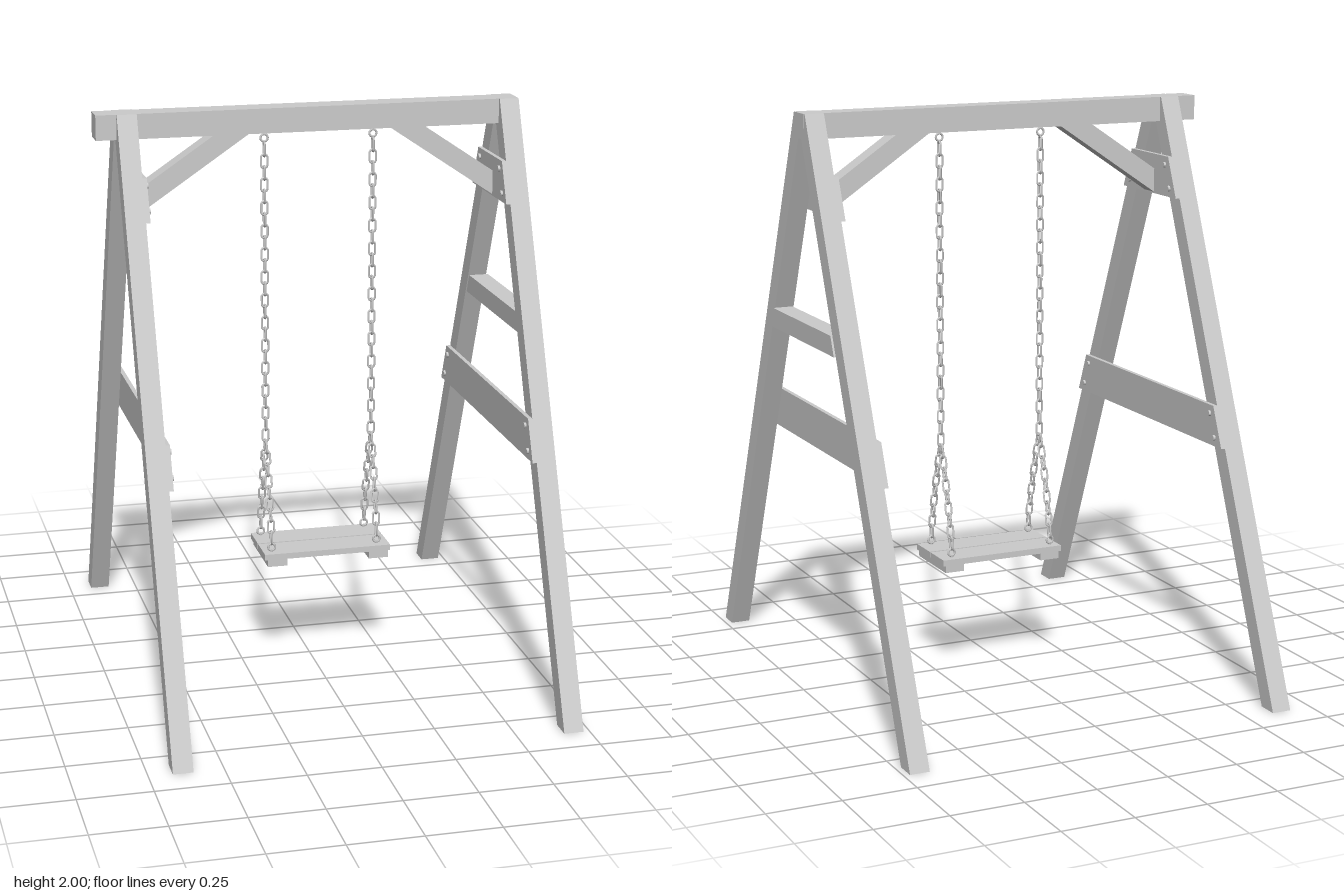
import * as THREE from 'three';

const material = new THREE.MeshStandardMaterial({ color: 0xcccccc, flatShading: true });
const smooth = new THREE.MeshStandardMaterial({ color: 0xcccccc });

function add(parent, name, geometry, mat = material) {
  const mesh = new THREE.Mesh(geometry, mat);
  mesh.name = name;
  parent.add(mesh);
  return mesh;
}

// box given by its limits on each axis
function block(parent, name, [x0, x1], [y0, y1], [z0, z1]) {
  const mesh = add(parent, name, new THREE.BoxGeometry(x1 - x0, y1 - y0, z1 - z0));
  mesh.position.set((x0 + x1) / 2, (y0 + y1) / 2, (z0 + z1) / 2);
  return mesh;
}

function extrude(points, depth) {
  const shape = new THREE.Shape(points.map(([a, b]) => new THREE.Vector2(a, b)));
  return new THREE.ExtrudeGeometry(shape, { depth, bevelEnabled: false });
}

// outline in (z, y), extruded from x0 to x1
function sidePrism(parent, name, points, x0, x1) {
  return add(parent, name, extrude(points, x1 - x0).rotateY(-Math.PI / 2).translate(x1, 0, 0));
}

// z of the leg's outer edge, middle and inner edge at height y
const SLOPE = 0.4215;
const outer = y => 0.893 - SLOPE * y;
const middle = y => 0.857 - SLOPE * y;
const inner = y => 0.82 - SLOPE * y;

// symmetric trapezoid whose ends follow the slope of the legs
const trapezoid = (edge, y0, y1) => [[-edge(y0), y0], [edge(y0), y0], [edge(y1), y1], [-edge(y1), y1]];

// one A-frame; dir points towards the middle of the swing
function sideFrame(name, x0, x1, dir) {
  const frame = new THREE.Group();
  frame.name = name;
  const face = dir > 0 ? x1 : x0;

  // legs, notched around the top beam
  for (const s of [1, -1]) {
    const pts = [[outer(0), 0], [outer(2), 2], [0.043, 2], [0.043, 1.915], [inner(1.915), 1.915], [inner(0), 0]];
    sidePrism(frame, s > 0 ? 'frontLeg' : 'backLeg', pts.map(([z, y]) => [s * z, y]), x0, x1);
  }

  // boards on the inner faces of the legs, each with four bolts
  for (const [board, y0, y1] of [['lowerBoard', 0.84, 0.98], ['upperBoard', 1.66, 1.8]]) {
    const end = face + dir * 0.015;
    sidePrism(frame, board, trapezoid(outer, y0, y1), Math.min(face, end), Math.max(face, end));
    for (const s of [1, -1]) for (const y of [y0 + 0.03, y1 - 0.03]) {
      const bolt = add(frame, 'bolt', new THREE.CylinderGeometry(0.01, 0.01, 0.008, 12).rotateZ(Math.PI / 2));
      bolt.position.set(end + dir * 0.004, y, s * middle(y));
    }
  }

  // diagonal brace up to the beam
  const foot = face + dir * 0.015;
  const brace = [[foot, 1.665], [foot + dir * 0.37, 1.915], [foot + dir * 0.248, 1.915], [foot, 1.748]];
  add(frame, 'brace', extrude(brace, 0.07).translate(0, 0, -0.035));
  return frame;
}

// ring stretched into a chain link along y
function linkGeometry() {
  const geometry = new THREE.TorusGeometry(0.0115, 0.0038, 6, 12).rotateZ(Math.PI / 12);
  const p = geometry.attributes.position;
  for (let i = 0; i < p.count; i++) p.setY(i, p.getY(i) + Math.sign(p.getY(i)) * 0.0125);
  geometry.computeVertexNormals();
  return geometry;
}

const PITCH = 0.0406;
const UP = new THREE.Vector3(0, 1, 0);

// one chain: eye bolt, straight run, then two branches down to the seat
function chain(name, x, z) {
  const group = new THREE.Group();
  group.name = name;
  group.position.set(x, 0, z);
  const link = linkGeometry();
  const ring = new THREE.TorusGeometry(0.0125, 0.004, 6, 14);

  add(group, 'topEye', ring, smooth).position.y = 1.894;
  add(group, 'topEyeStem', new THREE.CylinderGeometry(0.004, 0.004, 0.016, 8), smooth).position.y = 1.911;
  const count = 26;
  for (let i = 0; i < count; i++) {
    const mesh = add(group, 'chainLink', link, smooth);
    mesh.position.y = 1.854 - i * PITCH;
    mesh.rotation.y = i % 2 ? 0 : Math.PI / 2;
  }

  for (const s of [1, -1]) {
    const curve = new THREE.CatmullRomCurve3(
      [[0.816, 0.002], [0.72, 0.032], [0.6, 0.064], [0.52, 0.08], [0.465, 0.087]]
        .map(([y, w]) => new THREE.Vector3(0, y, s * w)));
    const n = Math.round(curve.getLength() / PITCH);
    for (let i = 0; i < n; i++) {
      const u = (i + 0.5) / n;
      const mesh = add(group, 'branchLink', link, smooth);
      mesh.position.copy(curve.getPointAt(u));
      mesh.quaternion.setFromUnitVectors(UP, curve.getTangentAt(u).negate());
      mesh.rotateY(i % 2 ? 0 : Math.PI / 2);
    }
    add(group, 'seatEye', ring, smooth).position.set(0, 0.451, s * 0.088);
    add(group, 'seatEyeStem', new THREE.CylinderGeometry(0.004, 0.004, 0.012, 8), smooth).position.set(0, 0.437, s * 0.088);
  }
  return group;
}

export function createModel() {
  const model = new THREE.Group();
  model.name = 'swing';

  block(model, 'topBeam', [-0.74, 0.73], [1.915, 2], [-0.043, 0.043]);
  model.add(sideFrame('rightFrame', -0.67, -0.602, 1));
  model.add(sideFrame('leftFrame', 0.661, 0.729, -1));

  // single rung between the legs of the left frame
  sidePrism(model, 'rung', trapezoid(inner, 1.233, 1.3), 0.665, 0.736);

  // seat: two planks on two cleats
  const seat = new THREE.Group();
  seat.name = 'seat';
  block(seat, 'frontPlank', [-0.19, 0.265], [0.413, 0.434], [0.012, 0.125]);
  block(seat, 'backPlank', [-0.19, 0.265], [0.413, 0.434], [-0.109, 0.004]);
  for (const x of [-0.18, 0.187]) block(seat, 'cleat', [x, x + 0.07], [0.388, 0.413], [-0.109, 0.125]);
  model.add(seat);

  model.add(chain('rightChain', -0.16, 0.008), chain('leftChain', 0.222, 0.008));
  return model;
}
